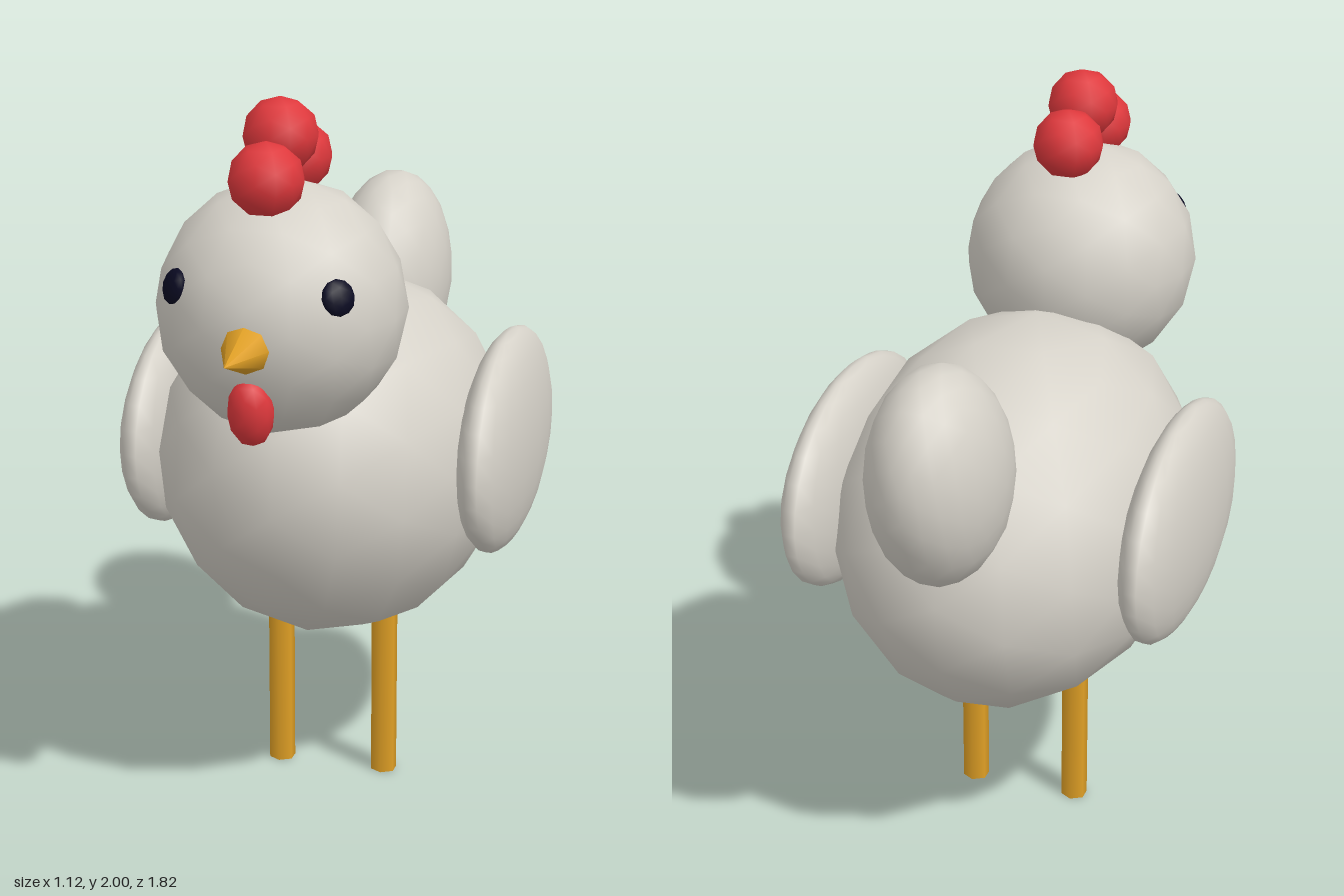
import * as THREE from 'three';

const paint = (name, color) => {
  const m = new THREE.MeshStandardMaterial({ color });
  m.name = name;
  return m;
};

export function createModel() {
  const feathers = paint('feather grey', 0xd6d2c9);
  const red = paint('comb red', 0xdf383c);
  const orange = paint('beak orange', 0xdf9f25);
  const dark = paint('eye navy', 0x0a0a22);

  const model = new THREE.Group();
  model.name = 'hen';

  const add = (name, geometry, material, pos, tilt = 0) => {
    const mesh = new THREE.Mesh(geometry, material);
    mesh.name = name;
    mesh.position.set(...pos);
    mesh.rotation.x = tilt;
    model.add(mesh);
    return mesh;
  };
  // Ellipsoids: faceted outline with smooth shading
  const ball = (rx, ry, rz, detail) => new THREE.IcosahedronGeometry(1, detail).scale(rx, ry, rz);

  // Body, head and tail
  add('body', ball(0.475, 0.505, 0.635, 2), feathers, [0, 0.933, -0.072], -0.16);
  add('head', ball(0.32, 0.325, 0.322, 2), feathers, [0, 1.47, 0.443]);
  add('tail', ball(0.175, 0.31, 0.255, 3), feathers, [0, 1.286, -0.645], -0.4);

  // Comb: three balls over the crown
  [[1.815, 0.567], [1.904, 0.445], [1.83, 0.322]].forEach(([y, z], i) =>
    add('comb' + (i + 1), ball(0.097, 0.096, 0.096, 1), red, [0, y, z]));

  // Beak and wattle
  const beak = new THREE.ConeGeometry(0.068, 0.18, 8).rotateX(Math.PI / 2);
  add('beak', beak, orange, [0, 1.435, 0.822]);
  add('wattle', ball(0.06, 0.092, 0.055, 1), red, [0, 1.266, 0.708], 0.15);

  // Mirrored wings, legs and eyes
  for (const [side, s] of [['left', 1], ['right', -1]]) {
    add(side + 'Wing', new THREE.SphereGeometry(1, 18, 14).scale(0.095, 0.297, 0.445),
      feathers, [s * 0.465, 0.987, -0.117]);
    add(side + 'Leg', new THREE.CylinderGeometry(0.037, 0.037, 0.48, 6), orange, [s * 0.15, 0.24, -0.028]);
    const eye = add(side + 'Eye', ball(0.045, 0.046, 0.02, 1), dark, [s * 0.209, 1.558, 0.663]);
    eye.lookAt(s * 0.418, 1.646, 0.883);
  }
  return model;
}
